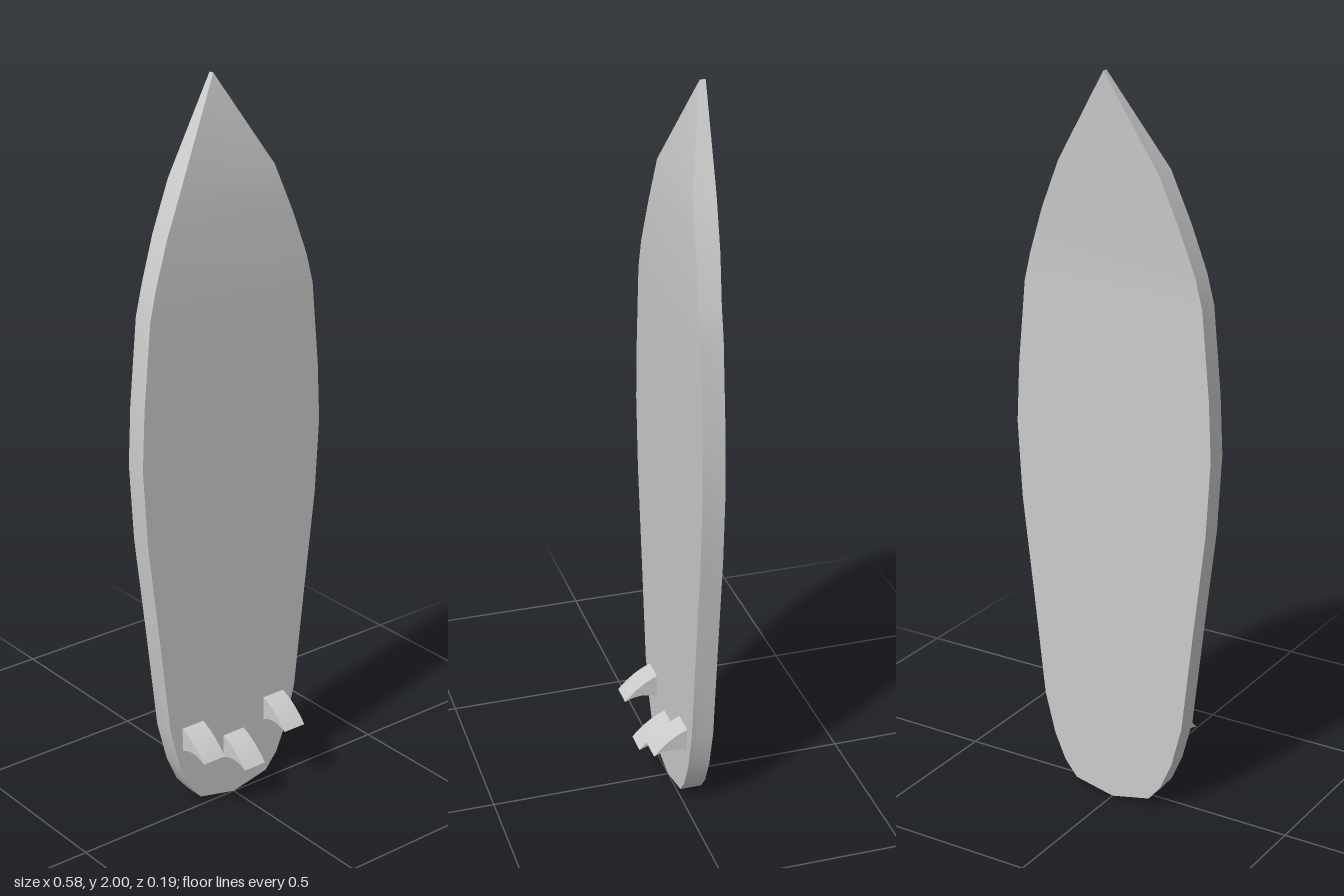
import * as THREE from 'three';
import { toCreasedNormals } from 'three/addons/utils/BufferGeometryUtils.js';

const material = new THREE.MeshStandardMaterial({ color: 0xcccccc });

// Board cross-sections from tail to nose: height, half width, front z, back z
const SECTIONS = [
  [0.005, 0, 0, -0.06], [0.03, 0.115, 0, -0.06], [0.075, 0.152, 0, -0.06],
  [0.15, 0.185, 0, -0.06], [0.265, 0.215, 0, -0.06], [0.55, 0.247, 0, -0.06],
  [0.83, 0.28, 0, -0.06], [1.04, 0.292, 0, -0.06], [1.2, 0.284, 0, -0.06],
  [1.43, 0.262, 0, -0.06], [1.51, 0.242, -0.002, -0.061], [1.63, 0.2, -0.009, -0.07],
  [1.76, 0.145, -0.016, -0.077], [2, 0, -0.08, -0.095],
];

function boardGeometry() {
  const positions = [], index = [];
  // Four corners per section: front left, front right, back right, back left
  for (const [y, x, zf, zb] of SECTIONS) {
    positions.push(x, y, zf, -x, y, zf, -x, y, zb, x, y, zb);
  }
  for (let i = 0; i < SECTIONS.length - 1; i++) {
    for (let k = 0; k < 4; k++) {
      const a = i * 4 + k, b = i * 4 + (k + 1) % 4;
      // Skip the collapsed triangles at the pointed tail and nose
      const flat = k % 2 === 0;
      if (!(flat && i === 0)) index.push(a, b, b + 4);
      if (!(flat && i === SECTIONS.length - 2)) index.push(a, b + 4, a + 4);
    }
  }
  // Wide faces at the tail and nose end in single triangles
  const n = (SECTIONS.length - 2) * 4;
  index.push(0, 5, 4, 2, 7, 6);
  // The nose triangles are already covered by the first half of the last quads
  const g = new THREE.BufferGeometry();
  g.setAttribute('position', new THREE.Float32BufferAttribute(positions, 3));
  g.setIndex(index.map((v) => v));
  // Turn faces outward
  for (let t = 0; t < index.length; t += 3) {
    const p = [0, 1, 2].map((j) => new THREE.Vector3().fromBufferAttribute(g.attributes.position, index[t + j]));
    const normal = p[1].clone().sub(p[0]).cross(p[2].clone().sub(p[0]));
    const s = SECTIONS[Math.floor(Math.min(index[t], n) / 4)];
    const out = p[0].clone().add(p[1]).add(p[2]).divideScalar(3).sub(new THREE.Vector3(0, 1, (s[2] + s[3]) / 2));
    // Rails face sideways, wide faces face front or back
    const rail = Math.abs(normal.z) < 0.3 * normal.length();
    const dot = rail ? normal.x * out.x + normal.y * out.y : normal.z * out.z;
    if (dot < 0) [index[t + 1], index[t + 2]] = [index[t + 2], index[t + 1]];
  }
  g.setIndex(index);
  return toCreasedNormals(g, 0.35);
}

// Swept fin: hooked side profile extruded across its width
function finGeometry() {
  const shape = new THREE.Shape();
  shape.moveTo(0, 0);
  shape.quadraticCurveTo(0.045, 0.024, 0.093, 0);
  shape.quadraticCurveTo(0.05, 0.05, -0.005, 0.07);
  shape.lineTo(-0.005, 0);
  const g = new THREE.ExtrudeGeometry(shape, { depth: 0.07, bevelEnabled: false, curveSegments: 8 });
  g.translate(0, 0, -0.035).rotateY(-Math.PI / 2);
  return toCreasedNormals(g, 0.6);
}

export function createModel() {
  const group = new THREE.Group();
  group.name = 'surfboard';
  const add = (name, geometry, x = 0, y = 0) => {
    const mesh = new THREE.Mesh(geometry, material);
    mesh.name = name;
    mesh.position.set(x, y, 0);
    group.add(mesh);
  };
  add('board', boardGeometry());
  const fin = finGeometry();
  add('leftFin', fin, 0.14, 0.195);
  add('centreFin', fin, 0, 0.125);
  add('rightFin', fin, -0.14, 0.195);
  return group;
}
